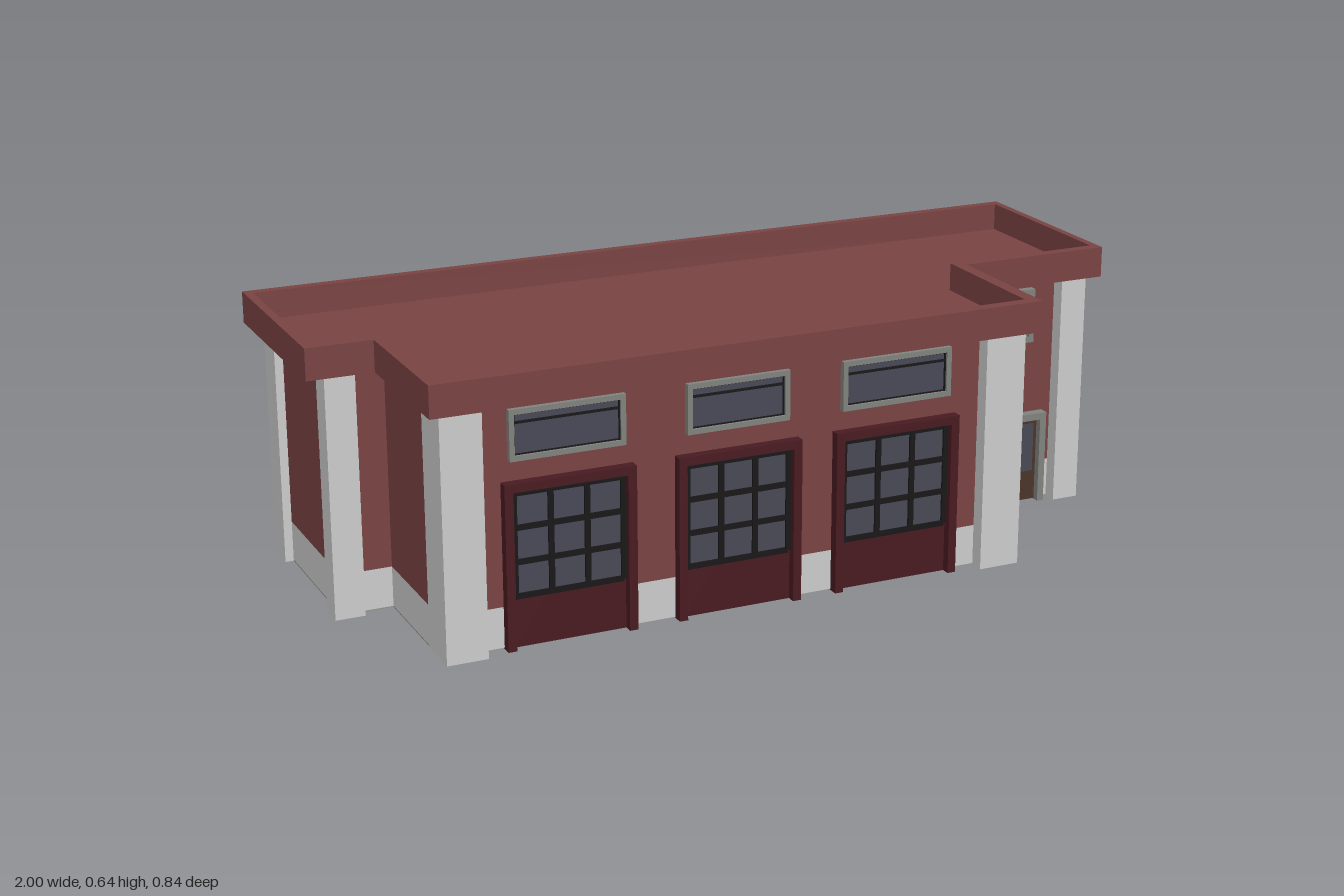
import * as THREE from 'three';

const mat = (color) => new THREE.MeshStandardMaterial({ color, flatShading: true });
const GREY = mat(0xcccccc), BRICK = mat(0x794242), MAROON = mat(0x481a20), GLASS = mat(0x484856),
  TRIM = mat(0x80827e), BROWN = mat(0x4a3428), BLACK = mat(0x181616), FLOOR = mat(0x959289);

// Box given by its extents
function box(parent, name, material, x0, x1, y0, y1, z0, z1) {
  const m = new THREE.Mesh(new THREE.BoxGeometry(x1 - x0, y1 - y0, z1 - z0), material);
  m.position.set((x0 + x1) / 2, (y0 + y1) / 2, (z0 + z1) / 2);
  m.name = name;
  parent.add(m);
}

// T-shaped plan: wide rear block (its front differs per side) plus a front wing
function plan(xa, xb, back, midA, midB, wa, wb, front) {
  return [[xa, back], [xb, back], [xb, midB], [wb, midB], [wb, front], [wa, front], [wa, midA], [xa, midA]]
    .map(([x, z]) => new THREE.Vector2(x, -z));
}

// Vertical extrusion of a plan, optionally hollow (hole wound the other way)
function slab(parent, name, material, outline, y0, y1, hole) {
  const shape = new THREE.Shape(outline);
  if (hole) shape.holes.push(new THREE.Path([...hole].reverse()));
  const g = new THREE.ExtrudeGeometry(shape, { depth: y1 - y0, bevelEnabled: false });
  g.rotateX(-Math.PI / 2);
  const m = new THREE.Mesh(g, material);
  m.position.y = y0;
  m.name = name;
  parent.add(m);
}

// Rectangular surround; sill is optional
function surround(parent, name, material, x0, x1, y0, y1, z0, z1, t, sill = true) {
  box(parent, name + 'LeftPost', material, x1 - t, x1, y0, y1, z0, z1);
  box(parent, name + 'RightPost', material, x0, x0 + t, y0, y1, z0, z1);
  box(parent, name + 'Head', material, x0 + t, x1 - t, y1 - t, y1, z0, z1);
  if (sill) box(parent, name + 'Sill', material, x0 + t, x1 - t, y0, y0 + t, z0, z1);
}

// Pane with a grid of glazing bars, including its edges
function glazing(parent, material, x0, x1, y0, y1, z, cols, rows, t) {
  box(parent, 'glass', GLASS, x0, x1, y0, y1, z - 0.01, z);
  for (let i = 0; i <= cols; i++) {
    const x = x0 + ((x1 - x0) * i) / cols;
    box(parent, 'verticalBar', material, x - t / 2, x + t / 2, y0, y1, z - 0.005, z + 0.005);
  }
  for (let j = 0; j <= rows; j++) {
    const y = y0 + ((y1 - y0) * j) / rows;
    box(parent, 'horizontalBar', material, x0, x1, y - t / 2, y + t / 2, z - 0.005, z + 0.004);
  }
}

function group(parent, name) {
  const g = new THREE.Group();
  g.name = name;
  parent.add(g);
  return g;
}

export function createModel() {
  const model = new THREE.Group();
  model.name = 'garageBuilding';
  const wingWall = 0.37, rearWall = 0.045;

  // Floor, and walls over a pale base course
  const walls = plan(-0.94, 0.94, -0.385, rearWall, rearWall, -0.818, 0.588, wingWall);
  const floor = plan(-0.94, 0.94, -0.385, rearWall, rearWall, -0.818, 0.588, 0.35);
  slab(model, 'floor', FLOOR, floor, 0, 0.003);
  slab(model, 'baseCourse', GREY, walls, 0.003, 0.098);
  slab(model, 'brickWalls', BRICK, walls, 0.098, 0.563);

  // Roof deck and parapet
  const outer = plan(-1, 1, -0.422, 0.066, 0.08, -0.845, 0.622, 0.421);
  const inner = plan(-0.98, 0.982, -0.398, 0.05, 0.054, -0.822, 0.592, 0.392);
  slab(model, 'roofDeck', BRICK, inner, 0.563, 0.571);
  slab(model, 'parapet', BRICK, outer, 0.563, 0.637, inner);

  // Corner pillars
  const pillars = group(model, 'cornerPillars');
  for (const [a, b, front] of [[-0.96, -0.89, 0.066], [0.89, 0.957, 0.08]]) {
    box(pillars, 'rearPillar', GREY, a, b, 0, 0.563, -0.4, -0.322);
    box(pillars, 'middlePillar', GREY, a, b, 0, 0.563, 0.005, front);
  }
  box(pillars, 'wingPillarRight', GREY, -0.82, -0.725, 0, 0.563, 0.295, 0.406);
  box(pillars, 'wingPillarLeft', GREY, 0.49, 0.59, 0, 0.563, 0.295, 0.406);

  // Three garage bays, each with a high window
  const bays = [[-0.675, -0.37, -0.658, -0.39], [-0.27, 0.03, -0.245, 0.003], [0.117, 0.43, 0.135, 0.41]];
  for (const [x0, x1, wx0, wx1] of bays) {
    const bay = group(model, 'garageBay');
    surround(bay, 'doorFrame', MAROON, x0, x1, 0, 0.383, 0.352, wingWall + 0.024, 0.02, false);
    box(bay, 'doorPanel', MAROON, x0 + 0.02, x1 - 0.02, 0, 0.363, 0.352, wingWall + 0.003);
    glazing(bay, BLACK, x0 + 0.026, x1 - 0.026, 0.12, 0.356, wingWall + 0.005, 3, 3, 0.013);
    surround(bay, 'windowFrame', TRIM, wx0, wx1, 0.43, 0.546, wingWall - 0.01, wingWall + 0.015, 0.012);
    glazing(bay, BLACK, wx0 + 0.012, wx1 - 0.012, 0.442, 0.534, wingWall + 0.005, 1, 1, 0.005);
    box(bay, 'transomBar', BLACK, wx0 + 0.012, wx1 - 0.012, 0.512, 0.517, wingWall, wingWall + 0.01);
  }

  // Double entrance door
  const entrance = group(model, 'entrance');
  surround(entrance, 'entranceFrame', TRIM, 0.65, 0.867, 0, 0.23, rearWall - 0.01, rearWall + 0.025, 0.017, false);
  for (const s of [-1, 1]) {
    const c = 0.7585 + s * 0.0458, h = 0.7585 + s * 0.014;
    box(entrance, 'doorLeaf', BROWN, c - 0.0458, c + 0.0458, 0.002, 0.213, rearWall - 0.01, rearWall + 0.008);
    box(entrance, 'doorGlass', GLASS, c - 0.036, c + 0.036, 0.078, 0.2, rearWall, rearWall + 0.011);
    box(entrance, 'doorHandle', BLACK, h - 0.007, h + 0.007, 0.057, 0.072, rearWall, rearWall + 0.02);
  }

  // Small gridded window above the entrance
  const small = group(model, 'smallWindow');
  surround(small, 'smallWindowFrame', TRIM, 0.685, 0.826, 0.414, 0.548, rearWall - 0.01, rearWall + 0.018, 0.014);
  glazing(small, TRIM, 0.699, 0.812, 0.428, 0.534, rearWall + 0.006, 4, 3, 0.006);

  return model;
}
